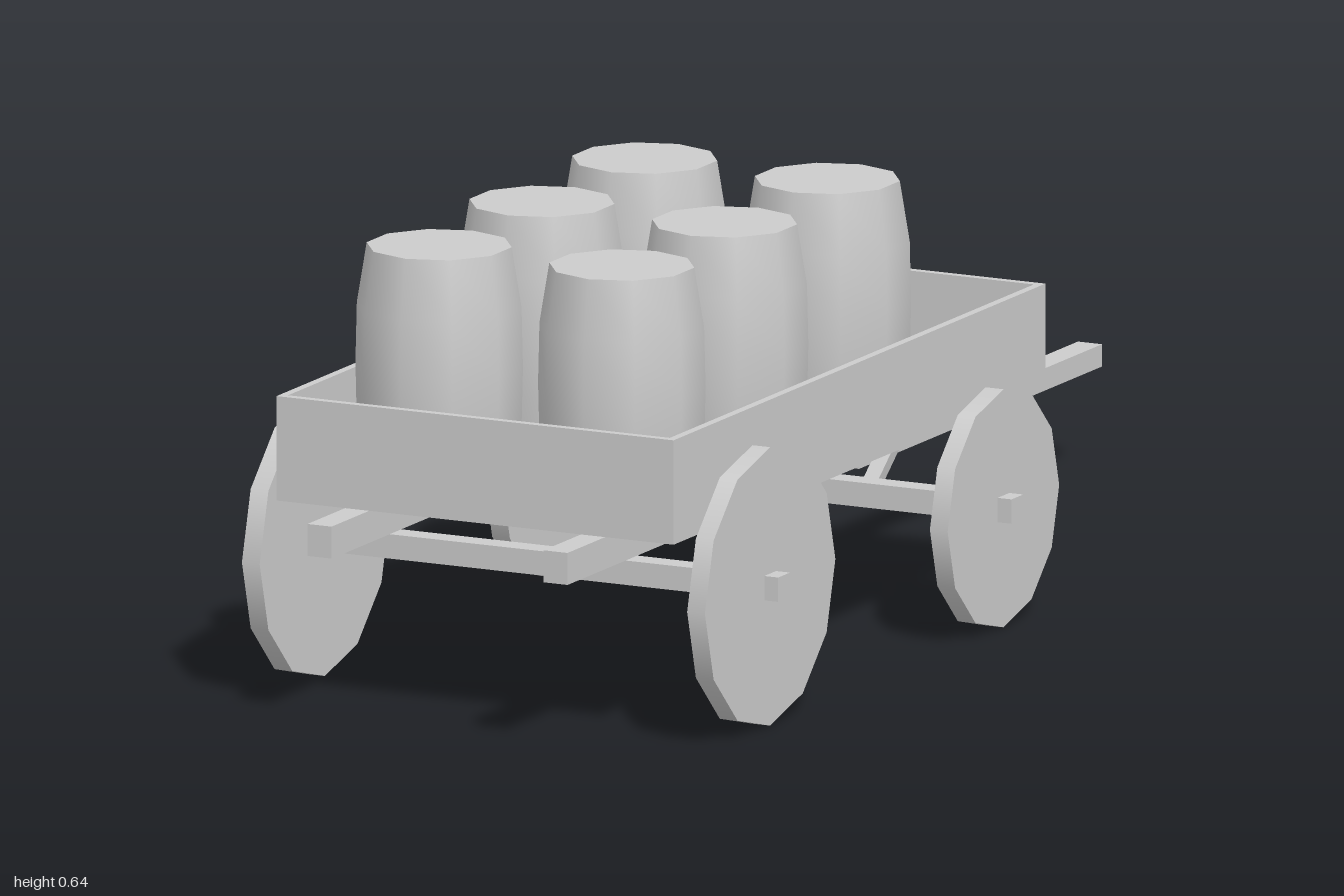
import * as THREE from 'three';

export function createModel() {
  const cart = new THREE.Group();
  cart.name = 'barrelCart';
  const grey = new THREE.MeshStandardMaterial({ color: 0xcccccc });
  grey.name = 'plainGrey';

  const add = (name, geometry, x, y, z) => {
    const mesh = new THREE.Mesh(geometry, grey);
    mesh.name = name;
    mesh.position.set(x, y, z);
    cart.add(mesh);
    return mesh;
  };
  const box = (name, w, h, d, x, y, z) => add(name, new THREE.BoxGeometry(w, h, d), x, y, z);

  // Open tray: floor and four thin walls
  const W = 0.626, L = 1.14, H = 0.15, T = 0.012, base = 0.293, midZ = 0.315;
  box('bedFloor', W - 2 * T, T, L - 2 * T, 0, base + T / 2, midZ);
  for (const s of [-1, 1]) {
    box('sideWall', T, H, L, s * (W - T) / 2, base + H / 2, midZ);
    box('endWall', W - 2 * T, H, T, 0, base + H / 2, midZ + s * (L - T) / 2);
    // Long rails beneath the tray
    box('rail', 0.038, 0.046, 1.285, s * 0.186, 0.27, 0.3575);
  }

  // Axles with solid twelve-sided wheels
  for (const [r, z] of [[0.2, 0.69], [0.171, -0.025]]) {
    box('axle', 0.774, 0.035, 0.036, 0, r + 0.001, z);
    for (const s of [-1, 1]) {
      const wheel = new THREE.CylinderGeometry(r, r, 0.028, 12).rotateZ(Math.PI / 2);
      add('wheel', wheel, s * 0.351, r, z);
    }
  }

  // Draw pole and its two braces
  box('drawPole', 0.038, 0.032, 0.745, 0, 0.163, -0.6275);
  for (const s of [-1, 1]) {
    const from = new THREE.Vector3(s * 0.152, 0.17, -0.02);
    const to = new THREE.Vector3(s * 0.009, 0.162, -0.375);
    const mid = from.clone().add(to).multiplyScalar(0.5);
    const brace = box('brace', 0.022, 0.02, from.distanceTo(to), mid.x, mid.y, mid.z);
    brace.lookAt(to);
  }

  // Ten-sided barrels: bulging staves with flat lids
  const staves = [[0.103, 0], [0.117, 0.086], [0.119, 0.172], [0.117, 0.258], [0.103, 0.344]]
    .map(([r, y]) => new THREE.Vector2(r, y));
  const side = new THREE.LatheGeometry(staves, 10);
  const lid = new THREE.CircleGeometry(0.103, 10).rotateZ(Math.PI / 2).rotateX(-Math.PI / 2);
  for (const x of [-0.144, 0.144]) {
    for (const z of [0.085, 0.4, 0.715]) {
      add('barrelSide', side, x, 0.3, z);
      add('barrelLid', lid, x, 0.644, z);
    }
  }
  return cart;
}
